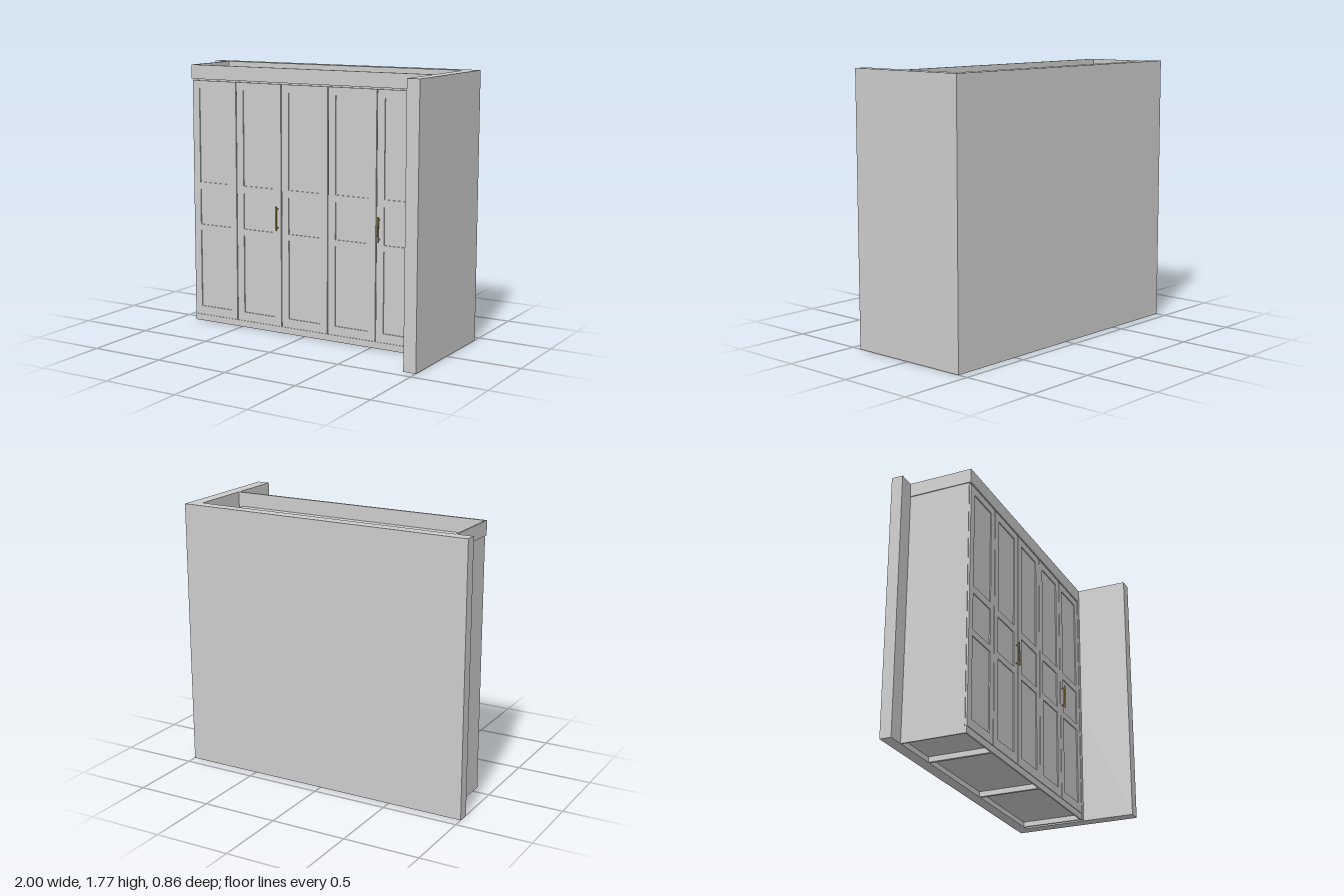
import * as THREE from 'three';

const grey = new THREE.MeshStandardMaterial({ color: 0xcccccc });
const brass = new THREE.MeshStandardMaterial({ color: 0xb8933a });

// Box given by its lower and upper limits on each axis
function block(parent, name, [x0, x1], [y0, y1], [z0, z1], material = grey) {
  const mesh = new THREE.Mesh(new THREE.BoxGeometry(x1 - x0, y1 - y0, z1 - z0), material);
  mesh.position.set((x0 + x1) / 2, (y0 + y1) / 2, (z0 + z1) / 2);
  mesh.name = name;
  parent.add(mesh);
  return mesh;
}

function rectangle(Kind, x0, x1, y0, y1) {
  return new Kind([[x0, y0], [x1, y0], [x1, y1], [x0, y1]].map(p => new THREE.Vector2(...p)));
}

const HEIGHT = 1.77, WALL_BACK = -0.43, WALL_FRONT = -0.353;
const CARCASS_TOP = 1.675, PLINTH = 0.043, DOOR_TOP = 1.665;
const CARCASS_FRONT = 0.062, DOOR_FRONT = 0.075;
const LEFT = -0.887, RIGHT = 0.885, BOARD = 0.01;
const DOOR_WIDTH = (RIGHT - LEFT) / 5;

// Three-panel framed door with shallow recesses
function makeDoor(x0, x1) {
  const door = new THREE.Group();
  door.name = 'door';
  const y0 = PLINTH + 0.002, recess = 0.007, stile = 0.053;
  const outline = rectangle(THREE.Shape, x0, x1, y0, DOOR_TOP);
  for (const [low, high] of [[0.105, 0.637], [0.68, 0.924], [0.973, 1.613]]) {
    outline.holes.push(rectangle(THREE.Path, x0 + stile, x1 - stile, low, high));
  }
  const frame = new THREE.Mesh(
    new THREE.ExtrudeGeometry(outline, { depth: recess, bevelEnabled: false }), grey);
  frame.position.z = DOOR_FRONT - recess;
  frame.name = 'doorFrame';
  door.add(frame);
  block(door, 'doorPanel', [x0, x1], [y0, DOOR_TOP], [CARCASS_FRONT + 0.001, DOOR_FRONT - recess]);
  return door;
}

// Slim bar handle on two posts
function makeHandle(x) {
  const handle = new THREE.Group();
  handle.name = 'handle';
  block(handle, 'handleBar', [x - 0.005, x + 0.005], [0.70, 0.86], [0.095, 0.102], brass);
  for (const y of [0.717, 0.843]) {
    block(handle, 'handlePost', [x - 0.003, x + 0.003], [y - 0.004, y + 0.004],
      [DOOR_FRONT, 0.095], brass);
  }
  return handle;
}

// Cabinet with a raised floor, open below behind its plinth
function makeCabinet(x0, x1) {
  const cabinet = new THREE.Group();
  cabinet.name = 'cabinet';
  const z = [WALL_FRONT, CARCASS_FRONT], inner = [x0 + BOARD, x1 - BOARD];
  block(cabinet, 'sideBoard', [x0, x0 + BOARD], [0, CARCASS_TOP], z);
  block(cabinet, 'sideBoard', [x1 - BOARD, x1], [0, CARCASS_TOP], z);
  block(cabinet, 'floorBoard', inner, [PLINTH - 0.008, PLINTH + 0.004], z);
  block(cabinet, 'topBoard', inner, [CARCASS_TOP - BOARD, CARCASS_TOP], z);
  block(cabinet, 'backBoard', inner, [PLINTH, CARCASS_TOP - BOARD], [WALL_FRONT, WALL_FRONT + 0.005]);
  return cabinet;
}

export function createModel() {
  const model = new THREE.Group();
  model.name = 'fittedWardrobe';

  // L-shaped room walls
  const plan = new THREE.Shape([[-1, 0.43], [1, 0.43], [1, -0.43], [0.915, -0.43],
    [0.915, -WALL_FRONT], [-1, -WALL_FRONT]].map(p => new THREE.Vector2(...p)));
  const walls = new THREE.Mesh(
    new THREE.ExtrudeGeometry(plan, { depth: HEIGHT, bevelEnabled: false }), grey);
  walls.rotation.x = -Math.PI / 2;
  walls.name = 'walls';
  model.add(walls);

  // One single and two double cabinets
  for (const [first, last] of [[0, 1], [1, 3], [3, 5]]) {
    model.add(makeCabinet(LEFT + first * DOOR_WIDTH, LEFT + last * DOOR_WIDTH));
  }

  // Five doors with narrow gaps
  for (let i = 0; i < 5; i++) {
    const x = LEFT + i * DOOR_WIDTH;
    model.add(makeDoor(x + 0.003, x + DOOR_WIDTH - 0.003));
  }
  model.add(makeHandle(-0.205), makeHandle(0.555));

  // Plinth, top fascia with its end return, and filler strip against the side wall
  block(model, 'plinth', [LEFT, RIGHT], [0, PLINTH], [CARCASS_FRONT, 0.073]);
  const trimZ = [CARCASS_FRONT, 0.077];
  block(model, 'fascia', [-0.893, RIGHT], [CARCASS_TOP, HEIGHT], trimZ);
  block(model, 'fasciaReturn', [-0.893, -0.883], [CARCASS_TOP, HEIGHT], [WALL_FRONT, CARCASS_FRONT]);
  block(model, 'wallFiller', [RIGHT, 0.915], [0, HEIGHT], trimZ);

  return model;
}
